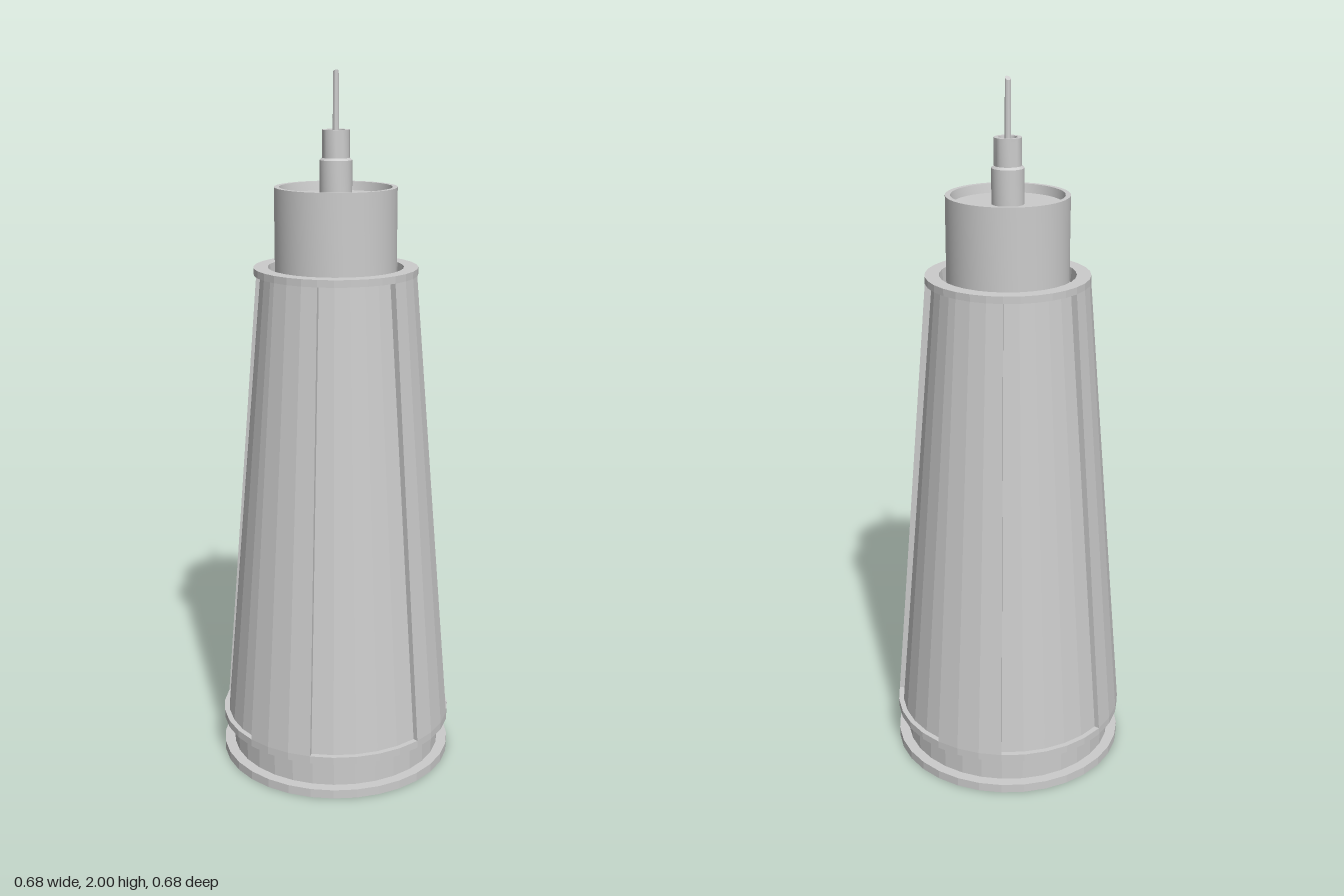
import * as THREE from 'three';
import { toCreasedNormals } from 'three/addons/utils/BufferGeometryUtils.js';

const SIDES = 32;
const STEP = (Math.PI * 2) / SIDES;
const flat = new THREE.MeshStandardMaterial({ color: 0xcccccc, flatShading: true });
const smooth = new THREE.MeshStandardMaterial({ color: 0xcccccc });
const thin = new THREE.MeshStandardMaterial({ color: 0xcccccc, flatShading: true, side: THREE.DoubleSide });

const toPoints = (pairs) => pairs.map(([r, y]) => new THREE.Vector2(r, y));

// Lathe over a number of facets, starting at a given facet edge
function lathe(name, pairs, material, segments = SIDES, start = 0, angle = Math.PI * 2) {
  let geometry = new THREE.LatheGeometry(toPoints(pairs), segments, start, angle);
  if (material === smooth) geometry = toCreasedNormals(geometry, 0.6);
  const mesh = new THREE.Mesh(geometry, material);
  mesh.name = name;
  return mesh;
}

export function createModel() {
  const model = new THREE.Group();
  model.name = 'taperedTower';
  const half = STEP / 2;
  const full = Math.PI * 2;

  // Foot flange, neck and the underside of the body
  model.add(lathe('base', [
    [0, 0.008], [0.322, 0.008], [0.322, 0], [0.34, 0], [0.34, 0.026],
    [0.31, 0.026], [0.31, 0.108], [0.34, 0.108],
  ], flat, SIDES, half, full));

  // Tapered body: four sunken panels of five facets, with three-facet ribs between
  const body = new THREE.Group();
  body.name = 'body';
  const ribProfile = [[0.34, 0.108], [0.34, 0.13], [0.23, 1.45], [0.23, 1.47]];
  const panelProfile = [
    [0.34, 0.108], [0.34, 0.13], [0.325, 0.13], [0.211, 1.45], [0.23, 1.45], [0.23, 1.47],
  ];
  const edgeShape = new THREE.Shape(toPoints(panelProfile.slice(1, 5)));
  for (let i = 0; i < 4; i++) {
    const centre = (i * Math.PI) / 2;
    const left = centre - 2.5 * STEP;
    const right = centre + 2.5 * STEP;
    body.add(lathe('sunkenPanel', panelProfile, flat, 5, left, 5 * STEP));
    body.add(lathe('rib', ribProfile, flat, 3, right, 3 * STEP));
    for (const angle of [left, right]) {
      const edge = new THREE.Mesh(new THREE.ShapeGeometry(edgeShape), thin);
      edge.name = 'panelEdge';
      edge.rotation.y = angle - Math.PI / 2;
      body.add(edge);
    }
  }
  model.add(body);

  // Rim of the body with the groove around the cap
  model.add(lathe('topRim', [
    [0.23, 1.47], [0.19, 1.47], [0.186, 1.43], [0.168, 1.43],
  ], flat, SIDES, half, full));

  // Cap with a raised lip
  model.add(lathe('cap', [
    [0.17, 1.42], [0.17, 1.69], [0.156, 1.69], [0.152, 1.665], [0, 1.665],
  ], smooth, 48));

  // Stepped stem with a hollow top
  model.add(lathe('stem', [
    [0.045, 1.66], [0.045, 1.762], [0.038, 1.768], [0.038, 1.843],
    [0.026, 1.843], [0.024, 1.825], [0, 1.825],
  ], smooth, 24));

  // Thin rod with a slanted tip
  const rodGeometry = new THREE.CylinderGeometry(0.008, 0.009, 0.18, 12);
  rodGeometry.translate(0, 1.905, 0);
  const position = rodGeometry.attributes.position;
  for (let i = 0; i < position.count; i++) {
    if (position.getY(i) > 1.9) position.setY(i, 1.995 + (position.getZ(i) / 0.008) * 0.005);
  }
  const rod = new THREE.Mesh(toCreasedNormals(rodGeometry, 0.6), smooth);
  rod.name = 'rod';
  model.add(rod);

  return model;
}
